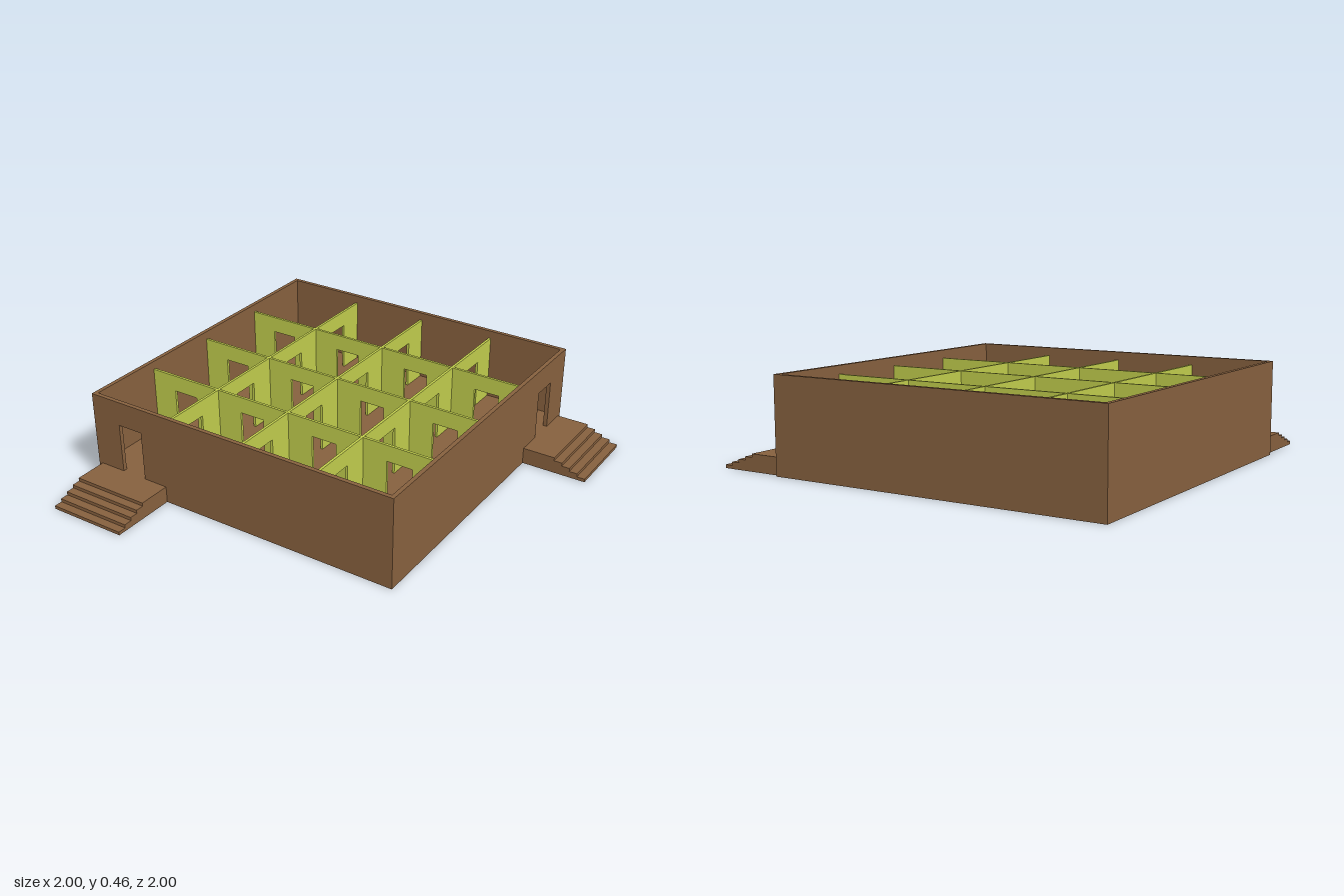
import * as THREE from 'three';

const U = 1 / 24;                 // building module
const MIN = -1, MAX = MIN + 40 * U;
const WALL = 0.5 * U, PART = 0.013;
const FLOOR = 2 * U, DOOR_TOP = 8 * U, PART_TOP = 10 * U, TOP = 11 * U;
const DOOR_W = 0.134;
const IN_MIN = MIN + WALL, IN_MAX = MAX - WALL;
const LINES = [-0.58, -0.167, 0.247];   // partition centre lines

const brown = new THREE.MeshStandardMaterial({ color: 0x86603e, flatShading: true });
const green = new THREE.MeshStandardMaterial({ color: 0xc0cc4c, flatShading: true });

// Box given by its two corners
function box(name, x0, x1, y0, y1, z0, z1) {
  const m = new THREE.Mesh(new THREE.BoxGeometry(x1 - x0, y1 - y0, z1 - z0), brown);
  m.position.set((x0 + x1) / 2, (y0 + y1) / 2, (z0 + z1) / 2);
  m.name = name;
  return m;
}

// Upright wall along x with door openings, centred on z = 0
function wallGeometry(a, b, bottom, top, thickness, doors) {
  const s = new THREE.Shape();
  s.moveTo(a, bottom);
  if (bottom === FLOOR) {
    // doors cut down to the floor as notches
    for (const d of doors) {
      s.lineTo(d - DOOR_W / 2, bottom);
      s.lineTo(d - DOOR_W / 2, DOOR_TOP);
      s.lineTo(d + DOOR_W / 2, DOOR_TOP);
      s.lineTo(d + DOOR_W / 2, bottom);
    }
  }
  s.lineTo(b, bottom);
  s.lineTo(b, top);
  s.lineTo(a, top);
  s.closePath();
  if (bottom !== FLOOR) {
    for (const d of doors) {
      const h = new THREE.Path();
      h.moveTo(d - DOOR_W / 2, FLOOR);
      h.lineTo(d - DOOR_W / 2, DOOR_TOP);
      h.lineTo(d + DOOR_W / 2, DOOR_TOP);
      h.lineTo(d + DOOR_W / 2, FLOOR);
      h.closePath();
      s.holes.push(h);
    }
  }
  const g = new THREE.ExtrudeGeometry(s, { depth: thickness, bevelEnabled: false });
  return g.translate(0, 0, -thickness / 2);
}

// Places a wall along x at z = at, or along z at x = at
function wall(name, geometry, material, at, alongZ) {
  const m = new THREE.Mesh(geometry, material);
  m.name = name;
  if (alongZ) {
    m.rotation.y = -Math.PI / 2;
    m.position.x = at;
  } else {
    m.position.z = at;
  }
  return m;
}

// Landing and steps, as a stepped side profile extruded across the width
function stairs(name, alongX) {
  const s = new THREE.Shape();
  s.moveTo(MAX, 0);
  s.lineTo(1, 0);
  for (let i = 0; i < 5; i++) {
    const x = 1 - i * U, y = (i + 1) * FLOOR / 5;
    s.lineTo(x, y);
    s.lineTo(i < 4 ? x - U : MAX, y);
  }
  s.closePath();
  const width = 0.4;
  const g = new THREE.ExtrudeGeometry(s, { depth: width, bevelEnabled: false });
  const m = new THREE.Mesh(g, brown);
  m.name = name;
  if (alongX) {
    m.position.z = IN_MIN;
  } else {
    m.rotation.y = -Math.PI / 2;
    m.position.x = IN_MIN + width;
  }
  return m;
}

export function createModel() {
  const model = new THREE.Group();
  model.name = 'house';

  model.add(box('floorSlab', IN_MIN, IN_MAX, 0, FLOOR, IN_MIN, IN_MAX));

  // Outer walls, with entrances in the front and left ones
  const entrance = [-0.776];
  const h = WALL / 2;
  model.add(
    wall('frontWall', wallGeometry(MIN, MAX, 0, TOP, WALL, entrance), brown, MAX - h, false),
    wall('backWall', wallGeometry(MIN, MAX, 0, TOP, WALL, []), brown, MIN + h, false),
    wall('leftWall', wallGeometry(IN_MIN, IN_MAX, 0, TOP, WALL, entrance), brown, MAX - h, true),
    wall('rightWall', wallGeometry(IN_MIN, IN_MAX, 0, TOP, WALL, []), brown, MIN + h, true)
  );

  // Partitions: one doorway in the middle of every room side
  const edges = [IN_MIN, ...LINES, IN_MAX];
  const doors = edges.slice(1).map((e, i) => (e + edges[i]) / 2);
  const partition = wallGeometry(IN_MIN, IN_MAX, FLOOR, PART_TOP, PART, doors);
  const partitions = new THREE.Group();
  partitions.name = 'partitions';
  for (const at of LINES) {
    partitions.add(wall('crossPartition', partition, green, at, false));
    partitions.add(wall('lengthPartition', partition, green, at, true));
  }
  model.add(partitions);

  model.add(stairs('frontStairs', false), stairs('leftStairs', true));
  return model;
}
